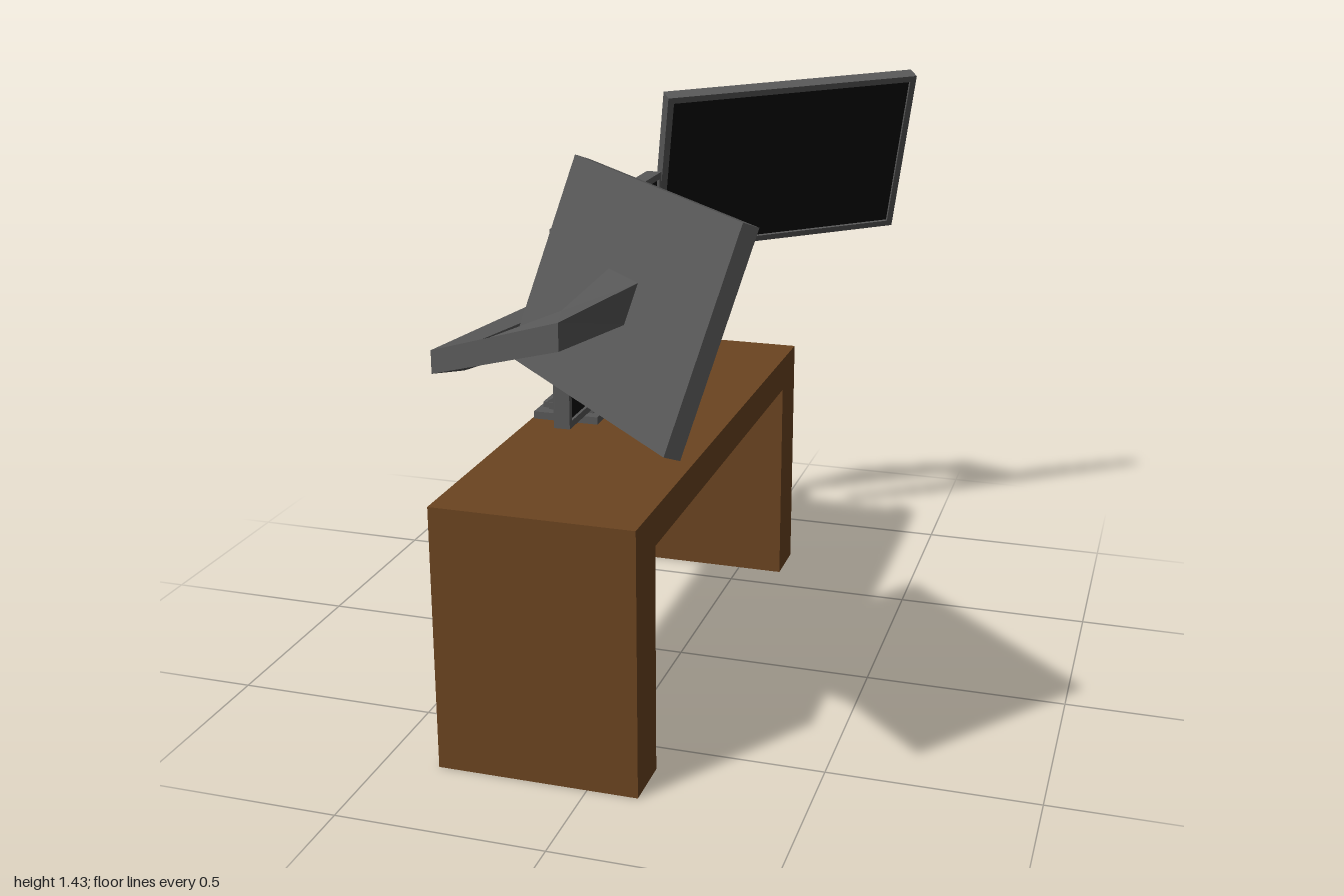
import * as THREE from 'three';

const mat = (color) => new THREE.MeshStandardMaterial({ color, flatShading: true });
const wood = mat(0x6b4420), grey = mat(0x585858), black = mat(0x0b0b0b);
const W = 0.725, H = 0.48, T = 0.04; // monitor width, height, thickness
const V3 = (x, y, z) => new THREE.Vector3(x, y, z);

function add(parent, name, geometry, material) {
  const mesh = new THREE.Mesh(geometry, material);
  mesh.name = name;
  parent.add(mesh);
  return mesh;
}

// Box given by its min and max along each axis
function box(parent, name, material, x0, x1, y0, y1, z0, z1) {
  const mesh = add(parent, name, new THREE.BoxGeometry(x1 - x0, y1 - y0, z1 - z0), material);
  mesh.position.set((x0 + x1) / 2, (y0 + y1) / 2, (z0 + z1) / 2);
}

function rect(Type, w, h) {
  const p = [[-w, -h], [w, -h], [w, h], [-w, h]].map(([x, y]) => new THREE.Vector2(x / 2, y / 2));
  return new Type(p);
}

// Monitor with a raised bezel; u is its width direction, v its up direction
function monitor(parent, name, center, u, v) {
  const g = new THREE.Group();
  g.name = name;
  u.normalize();
  const n = u.clone().cross(v).normalize();
  g.matrix.makeBasis(u, n.clone().cross(u), n).setPosition(center);
  g.matrix.decompose(g.position, g.quaternion, g.scale);
  parent.add(g);

  const rim = rect(THREE.Shape, W, H), lip = 0.008;
  rim.holes.push(rect(THREE.Path, W - 0.034, H - 0.034));
  add(g, 'bezel', new THREE.ExtrudeGeometry(rim, { depth: lip, bevelEnabled: false }), grey)
    .position.z = T / 2 - lip;
  box(g, 'housing', grey, -W / 2, W / 2, -H / 2, H / 2, -T / 2, T / 2 - lip);
  add(g, 'screen', new THREE.PlaneGeometry(W - 0.034, H - 0.034), black).position.z = T / 2 - lip + 0.001;
  g.updateMatrix();
  return g;
}

// Solid through a row of four-cornered sections
function loft(sections) {
  const pos = [];
  const quad = (a, b, c, d) => [a, b, c, a, c, d].forEach((p) => pos.push(p.x, p.y, p.z));
  for (let i = 0; i + 1 < sections.length; i++) {
    for (let k = 0; k < 4; k++) {
      const m = (k + 1) % 4, s = sections[i], t = sections[i + 1];
      quad(s[k], s[m], t[m], t[k]);
    }
  }
  quad(...[...sections[0]].reverse());
  quad(...sections[sections.length - 1]);
  const geo = new THREE.BufferGeometry();
  geo.setAttribute('position', new THREE.Float32BufferAttribute(pos, 3));
  geo.computeVertexNormals();
  return geo;
}

// Arm stations: outer x, z, inner x, z, bottom y, top y; it ends on the monitor's back
function arm(parent, name, stations, screen, side) {
  const sections = stations.map(([ox, oz, ix, iz, lo, hi]) =>
    [V3(ox, lo, oz), V3(ix, lo, iz), V3(ix, hi, iz), V3(ox, hi, oz)]);
  const a = 0.066 * side, b = 0.046, back = -T / 2 + 0.003;
  sections.push([[-a, -b], [a, -b], [a, b], [-a, b]]
    .map(([x, y]) => V3(x, y, back).applyMatrix4(screen.matrix)));
  if (side < 0) sections.forEach((s) => s.reverse());
  add(parent, name, loft(sections), grey);
}

export function createModel() {
  const model = new THREE.Group();
  model.name = 'tripleMonitorDesk';

  // Desk
  const desk = new THREE.Group();
  desk.name = 'desk';
  model.add(desk);
  box(desk, 'deskTop', wood, -0.365, 0.122, 0.56, 0.65, -0.725, 0.737);
  box(desk, 'frontLeg', wood, -0.365, 0.122, 0, 0.56, 0.6, 0.737);
  box(desk, 'rearLeg', wood, -0.365, 0.122, 0, 0.56, -0.725, -0.588);

  // Stand: stepped foot and sloping neck
  const stand = new THREE.Group();
  stand.name = 'stand';
  model.add(stand);
  box(stand, 'footPlate', grey, -0.36, -0.19, 0.65, 0.669, -0.092, 0.098);
  box(stand, 'footSpacer', grey, -0.33, -0.21, 0.669, 0.676, -0.065, 0.07);
  box(stand, 'upperPlate', grey, -0.342, -0.205, 0.676, 0.69, -0.072, 0.078);
  const wedge = new THREE.Shape([[-0.335, 0.69], [-0.205, 0.69], [-0.195, 0.73], [-0.195, 0.778]]
    .map(([x, y]) => new THREE.Vector2(x, y)));
  add(stand, 'neck', new THREE.ExtrudeGeometry(wedge, { depth: 0.144, bevelEnabled: false }), grey)
    .position.z = -0.069;

  // Monitors
  monitor(model, 'centerMonitor', V3(-0.182, 0.97, 0.007), V3(0, 0, -1), V3(0, 1, 0));
  const front = monitor(model, 'frontMonitor', V3(0.08, 1.149, 0.675),
    V3(-0.72, 0.02, -0.69), V3(0.26, 0.935, -0.24));
  const rear = monitor(model, 'rearMonitor', V3(0.083, 1.188, -0.703),
    V3(0.806, 0.035, -0.592), V3(0.17, 0.947, 0.28));

  // Support arms
  arm(model, 'frontArm', [
    [-0.28, -0.02, -0.195, -0.02, 0.93, 0.98],
    [-0.39, 0.63, -0.33, 0.585, 0.925, 0.98],
    [0.03, 0.935, 0.005, 0.85, 1.1, 1.16],
  ], front, 1);
  arm(model, 'rearArm', [
    [-0.28, 0.02, -0.195, 0.02, 0.93, 0.98],
    [-0.428, -0.615, -0.405, -0.605, 0.922, 0.98],
    [-0.275, -0.805, -0.235, -0.7, 0.955, 1.015],
    [-0.003, -0.875, -0.03, -0.805, 1.06, 1.14],
  ], rear, -1);

  return model;
}
